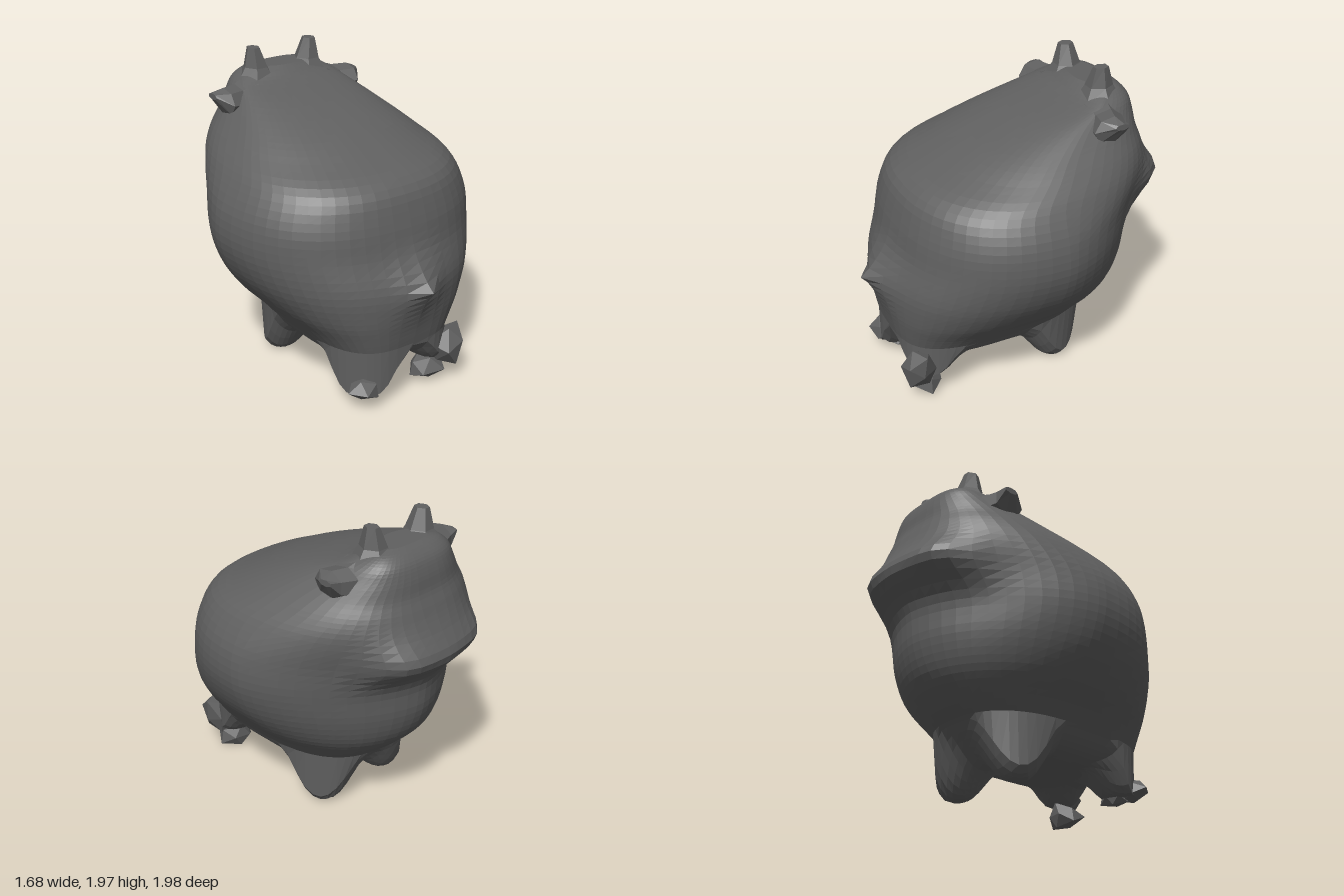
import * as THREE from 'three';

const hide = new THREE.MeshStandardMaterial({ color: 0x606060, flatShading: true });
const SIDES = 56, STEPS = 4;
const V = (x, y, z) => new THREE.Vector3(x, y, z);
const { smoothstep, clamp } = THREE.MathUtils;

// Body rings: y, z of widest point, z at tail side, z at head side, half width, squareness of head and tail side
const rings = [
  [0.38, 0.14, 0.83, -0.46, 0.44, 2.5, 3.4],
  [0.48, 0.08, 0.85, -0.59, 0.52, 2.2, 3.1],
  [0.62, 0.02, 0.87, -0.72, 0.65, 1.9, 2.7],
  [0.80, 0.00, 0.87, -0.79, 0.77, 1.7, 2.4],
  [1.00, 0.00, 0.81, -0.81, 0.835, 1.65, 2.3],
  [1.20, 0.00, 0.77, -0.86, 0.82, 1.7, 2.3],
  [1.38, -0.02, 0.69, -0.88, 0.73, 2.1, 2.3],
  [1.50, -0.12, 0.46, -0.85, 0.63, 2.4, 2.2],
  [1.60, -0.22, 0.23, -0.81, 0.53, 2.6, 2.2],
  [1.70, -0.35, -0.06, -0.79, 0.43, 2.8, 2.2],
  [1.78, -0.48, -0.34, -0.76, 0.35, 3, 2],
  [1.83, -0.56, -0.43, -0.71, 0.27, 3, 2],
  [1.855, -0.58, -0.47, -0.66, 0.18, 3, 2],
];

// Legs growing out of the belly: x, z, foot height, inner and outer radius
const legs = [
  [0.27, -0.21, 0.02, 0.05, 0.28], [-0.27, -0.21, 0.02, 0.05, 0.28],
  [0.28, 0.68, 0.17, 0.06, 0.25], [-0.27, 0.69, 0.1, 0.1, 0.29],
];

// Skin a stack of closed rings; both ends are closed with a fan
function loft(list) {
  const sides = list[0].length, pos = [], idx = [];
  for (const ring of list) for (const p of ring) pos.push(p.x, p.y, p.z);
  for (let i = 0; i < list.length - 1; i++) {
    for (let j = 0; j < sides; j++) {
      const a = i * sides + j, b = i * sides + (j + 1) % sides;
      idx.push(a, a + sides, b, b, a + sides, b + sides);
    }
  }
  [0, list.length - 1].forEach((r, end) => {
    const c = V(0, 0, 0), ci = pos.length / 3;
    list[r].forEach(p => c.addScaledVector(p, 1 / sides));
    pos.push(c.x, c.y, c.z);
    for (let j = 0; j < sides; j++) {
      const a = r * sides + j, b = r * sides + (j + 1) % sides;
      if (end) idx.push(a, ci, b); else idx.push(a, b, ci);
    }
  });
  const g = new THREE.BufferGeometry();
  g.setAttribute('position', new THREE.Float32BufferAttribute(pos, 3));
  g.setIndex(idx);
  g.computeVertexNormals();
  return g;
}

// Smooth blend between neighbouring ring rows
function ringAt(t) {
  const i = Math.min(Math.floor(t), rings.length - 2), f = t - i;
  const row = k => rings[clamp(k, 0, rings.length - 1)];
  return rings[i].map((b, c) => {
    const a = row(i - 1)[c], d = row(i + 1)[c], e = row(i + 2)[c];
    return b + 0.5 * f * (d - a + f * (2 * a - 5 * b + 4 * d - e + f * (3 * (b - d) + e - a)));
  });
}

// One ring, with the broad muzzle and the pointed tail pushed out of the surface
function bodyRing([y, zc, zb, zf, w, nf, nb]) {
  return Array.from({ length: SIDES }, (_, j) => {
    const a = j / SIDES * Math.PI * 2, c = Math.cos(a), s = Math.sin(a);
    const e = 2 / (s < 0 ? nf : nb), depth = Math.pow(Math.abs(s), e);
    const x = Math.sign(c) * Math.pow(Math.abs(c), e) * w;
    let z = zc + depth * ((s < 0 ? zf : zb) - zc);
    if (s < 0) {
      const mx = x + 0.02;
      z -= (0.115 + 0.6 * mx * mx) * Math.exp(-(((y - 1.23) / 0.13) ** 2) - (mx / 0.45) ** 6);
    } else {
      const r = Math.hypot(x, y - 0.8);
      z += 0.07 * Math.exp(-((r / 0.17) ** 2)) + 0.06 * Math.exp(-r / 0.04);
    }
    return V(x, y, z);
  });
}

function bodyGeometry() {
  const list = [], steps = STEPS * (rings.length - 1);
  for (let i = 0; i <= steps; i++) list.push(bodyRing(ringAt(i / STEPS)));
  // Underside: the lowest ring shrinks inward, curving to the belly and dropping at each leg
  const rim = list[0], under = [];
  for (let k = 1; k <= 16; k++) {
    const t = k / 16;
    under.push(rim.map(p => {
      const x = p.x * t, z = 0.15 + (p.z - 0.15) * t;
      let y = 0.23 + 0.15 * t ** 5 - 0.06 * Math.exp(-(((z + 0.2) / 0.15) ** 2));
      for (const [lx, lz, foot, r0, r1] of legs) {
        const drop = 1 - smoothstep(Math.hypot(x - lx, z - lz), r0, r1);
        y += (foot - y) * drop;
      }
      return V(x, y, z);
    }));
  }
  return loft([...under, ...list.slice(1)]);
}

// Crumpled lump
function rockGeometry() {
  const g = new THREE.IcosahedronGeometry(1, 0), p = g.attributes.position;
  for (let i = 0; i < p.count; i++) {
    const x = p.getX(i), y = p.getY(i), z = p.getZ(i);
    const k = 1 + 0.2 * Math.sin(x * 17 + y * 29 + z * 41);
    p.setXYZ(i, x * k, y * k, z * k);
  }
  g.computeVertexNormals();
  return g;
}

export function createModel() {
  const model = new THREE.Group();
  const add = (name, geo, pos = [0, 0, 0], scale = [1, 1, 1], rot = [0, 0, 0]) => {
    const m = new THREE.Mesh(geo, hide);
    m.name = name;
    m.position.set(...pos);
    m.scale.set(...scale);
    m.rotation.set(...rot);
    model.add(m);
  };

  add('body', bodyGeometry());

  // Crumpled feet under the tail end
  const rock = rockGeometry();
  add('hindFootRight', rock, [-0.31, 0.15, 0.74], [0.1, 0.08, 0.1], [0, 0.6, 0]);
  add('hindFootRight', rock, [-0.22, 0.11, 0.68], [0.09, 0.06, 0.1], [0, 2, 0]);
  add('hindFootLeft', rock, [0.33, 0.25, 0.76], [0.11, 0.15, 0.12], [0.3, 0.4, -0.3]);
  add('hindFootLeft', rock, [0.24, 0.09, 0.68], [0.11, 0.09, 0.13], [0, 1.4, 0]);

  for (const s of [-1, 1]) {
    // Horn: x, y, radius in x and z, from root to tip
    const horn = [[0.2, 1.76, 0.14, 0.15], [0.2, 1.86, 0.08, 0.09], [0.215, 1.985, 0.04, 0.05]].map(
      ([x, y, rx, rz]) => Array.from({ length: 6 }, (_, j) => {
        const a = j / 6 * Math.PI * 2;
        return V(s * x + Math.cos(a) * rx, y, -0.54 + Math.sin(a) * rz);
      }));
    add('horn', loft(horn));

    // Ear: x, y, z, radius in y and z, from root to tip
    const ear = [[0.27, 1.67, -0.5, 0.15, 0.16], [0.38, 1.68, -0.49, 0.1, 0.12],
      [0.48, 1.69, -0.46, 0.09, 0.11], [0.55, 1.73, -0.5, 0.02, 0.05]].map(
      ([x, y, z, ry, rz]) => Array.from({ length: 7 }, (_, j) => {
        const a = s * j / 7 * Math.PI * 2;
        return V(s * x, y + Math.sin(a) * ry, z + Math.cos(a) * rz);
      }));
    add('ear', loft(ear));
  }
  return model;
}
